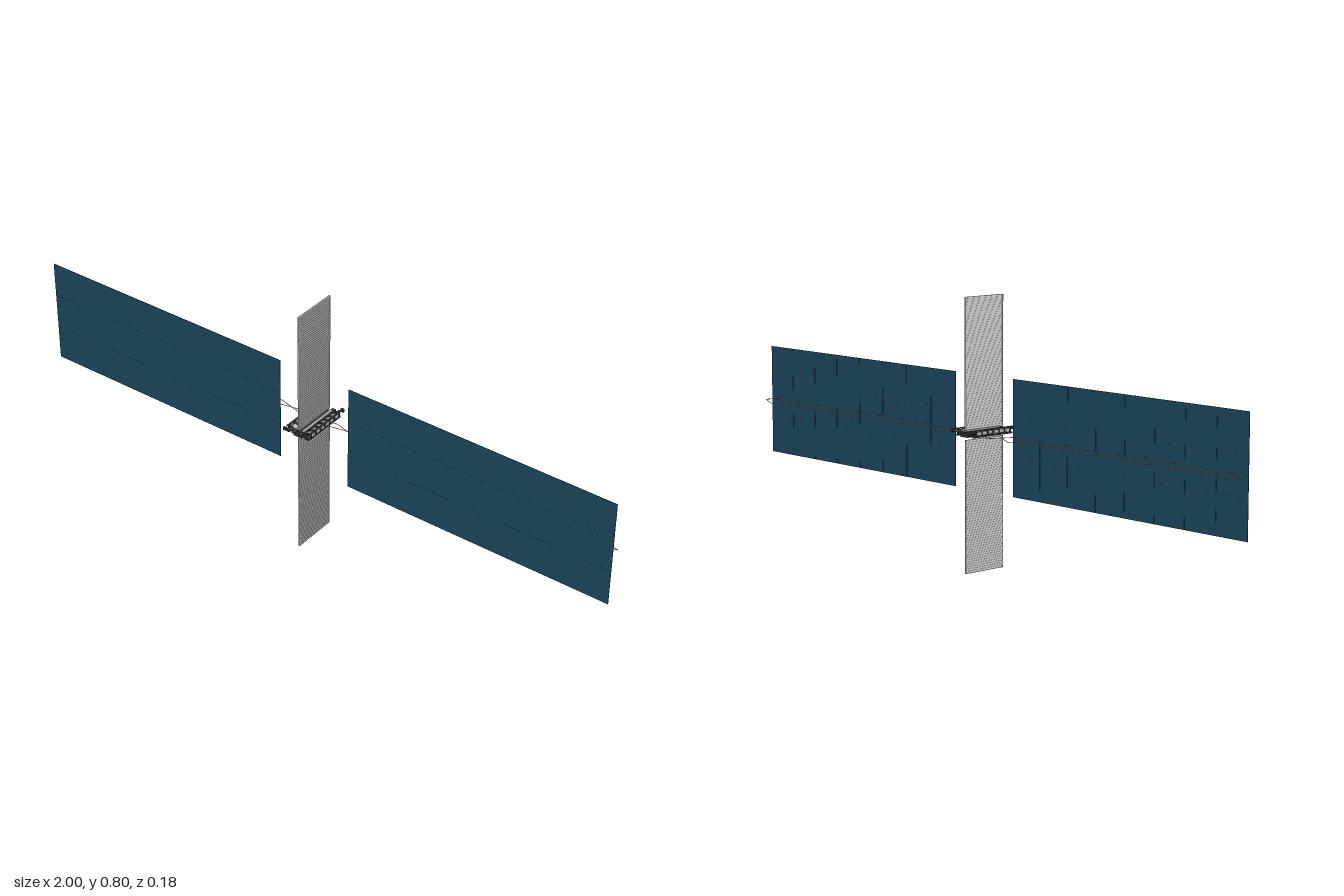
import * as THREE from 'three';
import { mergeGeometries } from 'three/addons/utils/BufferGeometryUtils.js';

const material = (name, color) => {
  const m = new THREE.MeshStandardMaterial({ color });
  m.name = name;
  return m;
};

const box = (w, h, d, x, y, z, tilt = 0) =>
  new THREE.BoxGeometry(w, h, d).rotateZ(tilt).translate(x, y, z);

// Thin round rod between two points
function rod(a, b, radius) {
  const dir = b.clone().sub(a);
  const q = new THREE.Quaternion().setFromUnitVectors(new THREE.Vector3(0, 1, 0), dir.clone().normalize());
  const mid = a.clone().add(b).multiplyScalar(0.5);
  return new THREE.CylinderGeometry(radius, radius, dir.length(), 12).applyQuaternion(q).translate(mid.x, mid.y, mid.z);
}

export function createModel() {
  const model = new THREE.Group();
  model.name = 'solarStation';
  const blue = material('solar blue', 0x1c4760);
  const pale = material('radiator grey', 0xd2d5d3);
  const tan = material('truss tan', 0xcfa488);
  const dark = material('hull charcoal', 0x3c4042);
  const grey = material('hull grey', 0xb4b8b6);

  const add = (parent, name, parts, mat) => {
    const mesh = new THREE.Mesh(mergeGeometries(parts), mat);
    mesh.name = name;
    parent.add(mesh);
  };

  // Solar wings: three long strips each, with fine seam ridges and back battens
  const x0 = 0.122, x1 = 1, y0 = 0.233, y1 = 0.573;
  const length = x1 - x0, strip = (y1 - y0) / 3;
  for (const side of [1, -1]) {
    const wing = new THREE.Group();
    wing.name = side > 0 ? 'leftSolarWing' : 'rightSolarWing';
    const cx = side * (x0 + x1) / 2;
    const strips = [], seams = [], battens = [];
    for (let i = 0; i < 3; i++) {
      strips.push(box(length, strip - 0.0003, 0.001, cx, y0 + strip * (i + 0.5), 0));
    }
    for (let i = 1; i < 3; i++) {
      seams.push(box(length, 0.0003, 0.0016, cx, y0 + strip * i, 0));
    }
    for (let i = 1; i < 8; i++) {
      battens.push(box(0.0004, y1 - y0, 0.0008, side * (x0 + length * i / 8), (y0 + y1) / 2, -0.0008));
    }
    add(wing, 'solarStrips', strips, blue);
    add(wing, 'seamRidges', seams, blue);
    add(wing, 'backBattens', battens, blue);
    model.add(wing);
  }

  // Lattice boom of diamonds running behind both wings, its two edges at different heights
  const lattice = [], bays = 20, zc = -0.026, yc = 0.404;
  for (let i = 0; i < bays; i++) {
    const a = -1 + 2 * i / bays, b = a + 2 / bays, m = (a + b) / 2;
    for (const t of [1, -1]) {
      const peak = new THREE.Vector3(m, yc + t * 0.006, zc + t * 0.018);
      lattice.push(rod(new THREE.Vector3(a, yc, zc), peak, 0.001));
      lattice.push(rod(peak, new THREE.Vector3(b, yc, zc), 0.001));
    }
  }
  add(model, 'latticeBoom', lattice, tan);

  // Radiators: pale sheet with fine horizontal fins and edge rails
  for (const [name, low, high] of [['lowerRadiator', 0, 0.391], ['upperRadiator', 0.42, 0.802]]) {
    const radiator = new THREE.Group();
    radiator.name = name;
    const h = high - low, mid = (low + high) / 2;
    const fins = [], count = Math.round(h / 0.007);
    for (let i = 0; i <= count; i++) {
      fins.push(box(0.0046, 0.0002, 0.145, 0, low + 0.0001 + (h - 0.0002) * i / count, 0));
    }
    add(radiator, 'radiatorSheet', [box(0.001, h, 0.142, 0, mid, 0)], pale);
    add(radiator, 'radiatorFins', fins, pale);
    add(radiator, 'edgeRails', [1, -1].map(s => box(0.0045, h, 0.003, 0, mid, s * 0.0715)), pale);
    model.add(radiator);
  }

  // Central hull: keel, raised side pods and corner thrusters
  const hull = new THREE.Group();
  hull.name = 'hull';
  const keel = [box(0.03, 0.006, 0.155, 0, 0.403, 0), box(0.012, 0.008, 0.14, 0, 0.41, 0)];
  const pods = [], ribs = [], thrusters = [], plates = [];
  for (const s of [1, -1]) {
    pods.push(box(0.022, 0.003, 0.15, s * 0.024, 0.409, 0, s * 0.4));
    pods.push(box(0.005, 0.003, 0.15, s * 0.039, 0.421, 0));
    pods.push(box(0.008, 0.004, 0.15, s * 0.036, 0.403, 0));
    plates.push(box(0.008, 0.003, 0.135, s * 0.011, 0.416, 0));
    for (let i = 0; i < 7; i++) {
      const z = -0.066 + 0.022 * i;
      ribs.push(box(0.026, 0.005, 0.005, s * 0.026, 0.4145, z, s * 0.35));
      ribs.push(box(0.004, 0.016, 0.004, s * 0.04, 0.412, z));
      // Pale plates on the deck and the open flanks between ribs
      if (i < 6) {
        plates.push(box(0.013, 0.003, 0.016, s * 0.026, 0.4135, z + 0.011, s * 0.4));
        plates.push(box(0.002, 0.01, 0.016, s * 0.039, 0.4125, z + 0.011));
      }
    }
    for (const t of [1, -1]) {
      thrusters.push(rod(new THREE.Vector3(s * 0.022, 0.412, t * 0.066),
        new THREE.Vector3(s * 0.039, 0.418, t * 0.088), 0.004));
      thrusters.push(box(0.01, 0.01, 0.006, s * 0.038, 0.418, t * 0.086));
      thrusters.push(box(0.012, 0.006, 0.012, s * 0.012, 0.412, t * 0.076));
    }
  }
  add(hull, 'keel', keel, dark);
  add(hull, 'sidePods', pods, dark);
  add(hull, 'ribs', ribs, dark);
  add(hull, 'thrusters', thrusters, dark);
  add(hull, 'deckPlates', plates, grey);
  model.add(hull);

  return model;
}
